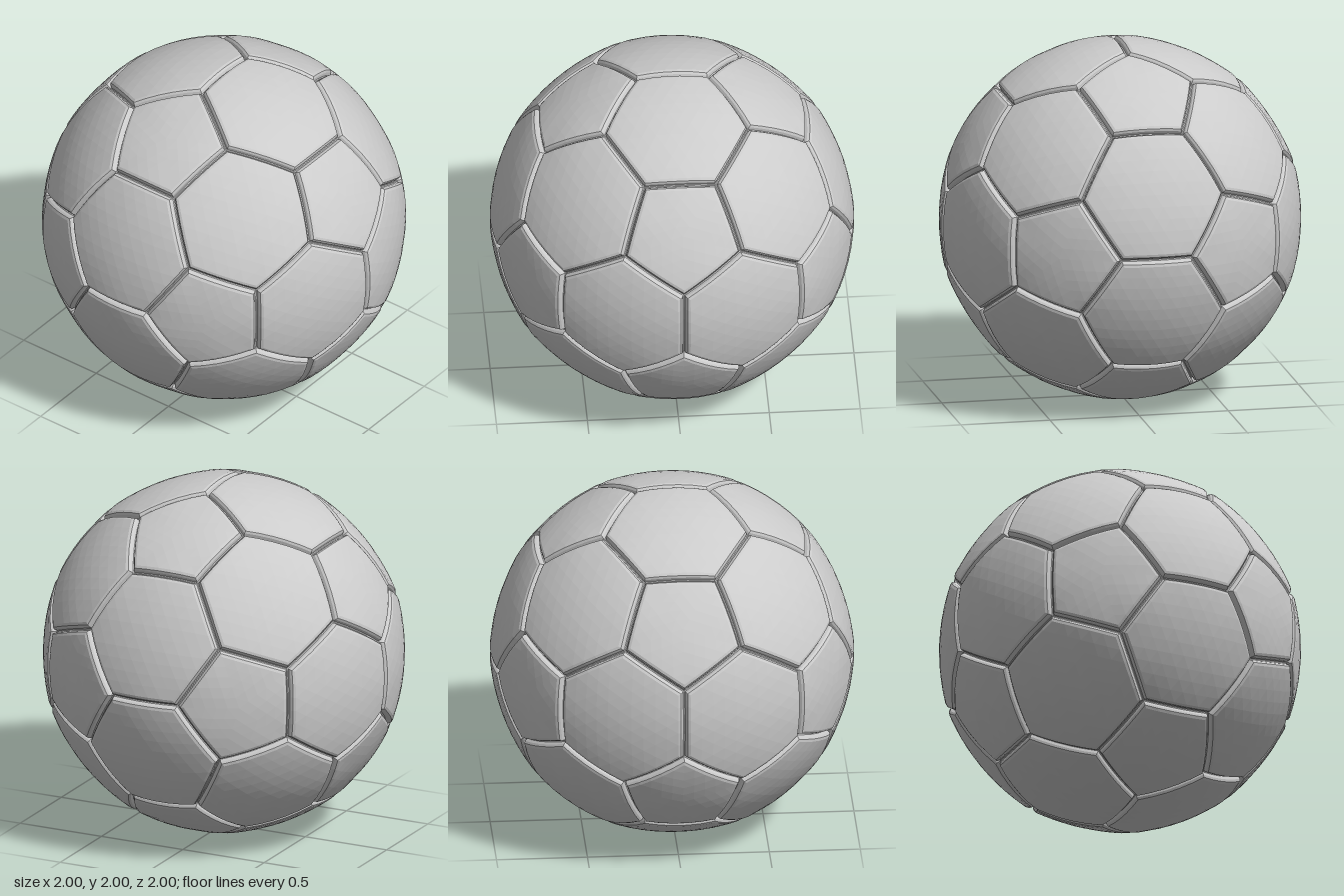
import * as THREE from 'three';

const PHI = (1 + Math.sqrt(5)) / 2;
const SEGS = 5; // facets along each panel side

// All sign variants and cyclic permutations of (a, b, 0)
function cyclic(a, b) {
  const out = [];
  for (const s of [a, -a]) for (const t of [b, -b]) {
    out.push(new THREE.Vector3(s, t, 0), new THREE.Vector3(0, s, t), new THREE.Vector3(t, 0, s));
  }
  return out;
}

// Corners of the panel around a centre direction, counterclockwise from outside
function panelCorners(centre, seamPoints, count) {
  const near = [...seamPoints].sort((p, q) => q.dot(centre) - p.dot(centre)).slice(0, count);
  const u = near[0].clone().addScaledVector(centre, -near[0].dot(centre)).normalize();
  const v = new THREE.Vector3().crossVectors(centre, u);
  const angle = (p) => Math.atan2(p.dot(v), p.dot(u));
  return near.sort((p, q) => angle(p) - angle(q));
}

// Curved panel: faceted middle rings, then a rounded rim dropping into the seam
function panelGeometry(centre, corners) {
  const mid = new THREE.Vector3();
  corners.forEach((c) => mid.addScaledVector(c, 1 / corners.length));
  const inradius = corners[0].clone().add(corners[1]).multiplyScalar(0.5).distanceTo(mid);

  const rings = [];
  const inner = 1 - 0.036 / inradius;
  for (let k = 0; k <= SEGS; k++) {
    const t = k / SEGS;
    rings.push({ t: t * inner, r: 1 - 0.008 * (1 - t * t), segs: k });
  }
  for (const [gap, r] of [[0.02, 0.996], [0.011, 0.985], [0.006, 0.968], [0, 0.965]]) {
    rings.push({ t: 1 - gap / inradius, r, segs: SEGS });
  }

  const pos = [];
  const tri = (...pts) => pts.forEach((p) => pos.push(p.x, p.y, p.z));
  corners.forEach((a, n) => {
    const b = corners[(n + 1) % corners.length];
    const point = (ring, i) => a.clone().lerp(b, ring.segs ? i / ring.segs : 0)
      .sub(mid).multiplyScalar(ring.t).add(mid).setLength(ring.r);
    for (let k = 1; k < rings.length; k++) {
      const lo = rings[k - 1], hi = rings[k];
      for (let i = 0; i < hi.segs; i++) {
        tri(point(lo, i), point(hi, i), point(hi, i + 1));
        if (i < lo.segs) tri(point(lo, i), point(hi, i + 1), point(lo, i + 1));
      }
    }
  });
  const geo = new THREE.BufferGeometry();
  geo.setAttribute('position', new THREE.Float32BufferAttribute(pos, 3));
  geo.computeVertexNormals();
  return geo;
}

export function createModel() {
  const ball = new THREE.Group();
  ball.name = 'ball';
  const material = new THREE.MeshStandardMaterial({ color: 0xcccccc, flatShading: true });

  // Panel centres: icosahedron corners (pentagons) and dodecahedron corners (hexagons)
  const ico = cyclic(PHI, 1);
  const dodeca = cyclic(1 / PHI, PHI);
  for (const x of [-1, 1]) for (const y of [-1, 1]) for (const z of [-1, 1]) {
    dodeca.push(new THREE.Vector3(x, y, z));
  }

  // Seam junctions: one third along every icosahedron edge
  const seamPoints = [];
  for (const a of ico) for (const b of ico) {
    if (Math.abs(a.distanceTo(b) - 2) < 0.01) seamPoints.push(a.clone().lerp(b, 1 / 3).normalize());
  }

  const addPanels = (name, centres, sides) => {
    const set = new THREE.Group();
    set.name = name + 's';
    for (const c of centres) {
      const centre = c.clone().normalize();
      const mesh = new THREE.Mesh(panelGeometry(centre, panelCorners(centre, seamPoints, sides)), material);
      mesh.name = name;
      set.add(mesh);
    }
    set.position.y = 1;
    ball.add(set);
  };
  addPanels('pentagonPanel', ico, 5);
  addPanels('hexagonPanel', dodeca, 6);
  return ball;
}
